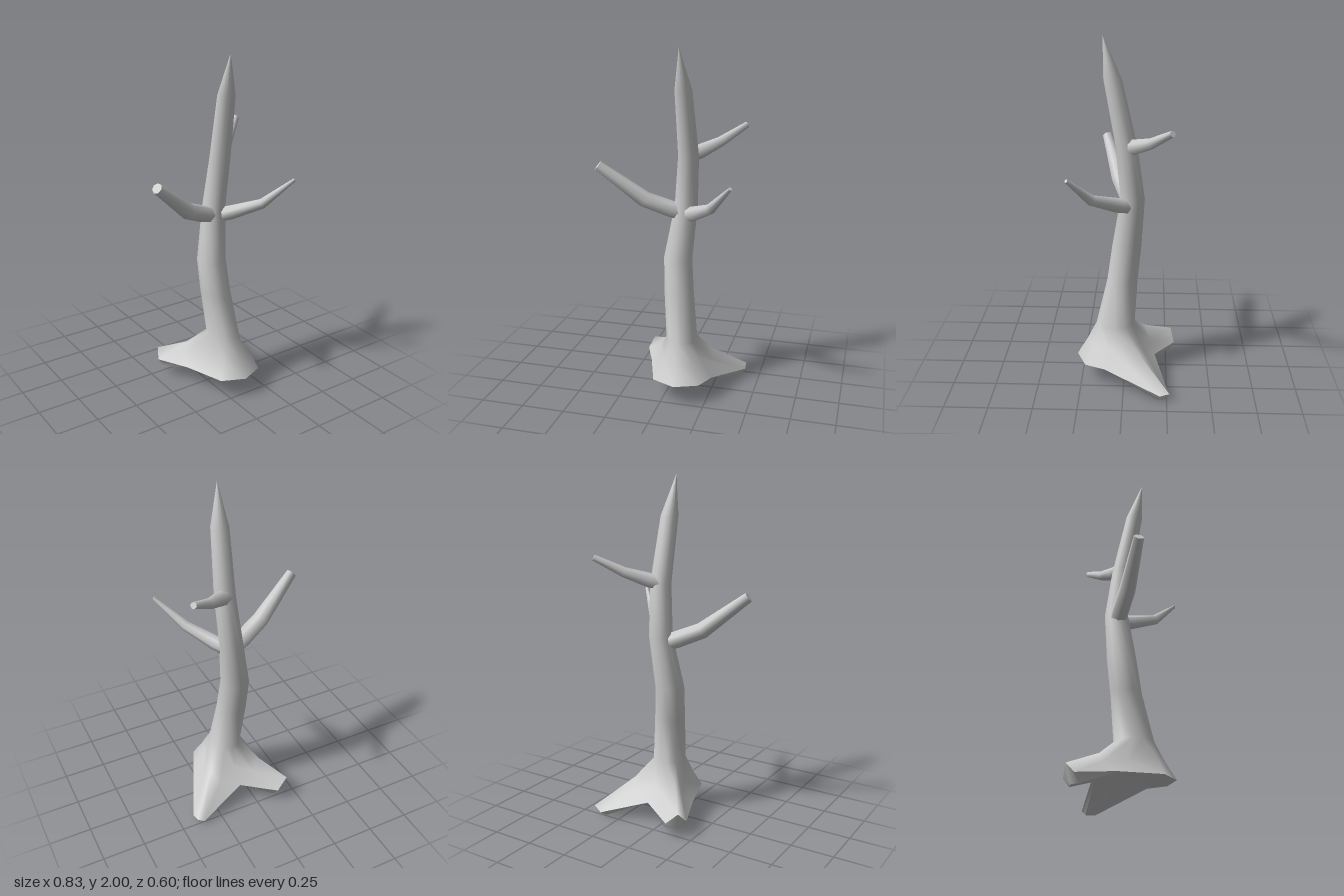
import * as THREE from 'three';

const V = (x, y, z) => new THREE.Vector3(x, y, z);
const material = new THREE.MeshStandardMaterial({ color: 0xcccccc, side: THREE.DoubleSide });

// Skin a list of equally sized rings, each running counterclockwise about the direction of growth
function loft(rings) {
  const n = rings[0].length, pos = [], index = [];
  rings.forEach(r => r.forEach(p => pos.push(p.x, p.y, p.z)));
  for (let j = 0; j < rings.length - 1; j++) {
    for (let i = 0; i < n; i++) {
      const a = j * n + i, b = j * n + (i + 1) % n;
      index.push(a, b, a + n, b, b + n, a + n);
    }
  }
  const g = new THREE.BufferGeometry();
  g.setAttribute('position', new THREE.Float32BufferAttribute(pos, 3));
  g.setIndex(index);
  g.computeVertexNormals();
  return g;
}

function mesh(name, geometry) {
  const m = new THREE.Mesh(geometry, material);
  m.name = name;
  return m;
}

// Horizontal 12-sided trunk ring, starting at the front
function trunkRing([x, y, z, rx, rz = rx]) {
  return Array.from({ length: 12 }, (_, i) => {
    const a = i * Math.PI / 6;
    return V(x + Math.sin(a) * rx, y, z + Math.cos(a) * rz);
  });
}

// Tapered branch through points [x, y, z, radius], with a sharp cut end
function branch(name, points) {
  const p = points.map(q => V(q[0], q[1], q[2]));
  const rings = points.map((q, k) => {
    const t = p[Math.min(k + 1, p.length - 1)].clone().sub(p[Math.max(k - 1, 0)]).normalize();
    const u = V(0, 1, 0).cross(t).normalize(), v = t.clone().cross(u);
    return Array.from({ length: 7 }, (_, i) => {
      const a = i * Math.PI * 2 / 7;
      return p[k].clone().addScaledVector(u, Math.cos(a) * q[3]).addScaledVector(v, Math.sin(a) * q[3]);
    });
  });
  const group = new THREE.Group();
  group.name = name;
  const end = rings[rings.length - 1];
  group.add(mesh(name + 'Limb', loft(rings)));
  group.add(mesh(name + 'Cut', loft([end, end.map(() => p[p.length - 1])])));
  return group;
}

export function createModel() {
  const tree = new THREE.Group();
  tree.name = 'bareTree';

  // Ground outline: front flare, left root tip, back notch, right root tip
  const base = [
    [0.085, 0.12, 0.28], [0.22, 0.12, 0.225], [0.27, 0.12, 0.11], [0.415, 0.04, -0.21],
    [0.413, 0.055, -0.265], [0.37, 0.02, -0.265], [0.085, 0.12, -0.18], [-0.115, 0.09, -0.30],
    [-0.185, 0.155, -0.28], [-0.21, 0.10, -0.23], [-0.13, 0.12, -0.02], [-0.05, 0.12, 0.22],
  ].map(q => V(...q));
  // Halfway up the flare, where the roots form ridges
  const flare = [
    [0.085, 0.22, 0.22], [0.175, 0.22, 0.18], [0.20, 0.22, 0.09], [0.25, 0.17, -0.02],
    [0.24, 0.215, -0.085], [0.20, 0.16, -0.14], [0.085, 0.20, -0.10], [-0.02, 0.17, -0.155],
    [-0.07, 0.235, -0.12], [-0.10, 0.18, -0.10], [-0.05, 0.20, 0.03], [-0.005, 0.22, 0.18],
  ].map(q => V(...q));

  // Trunk: x, y, z, radius in x, radius in z
  const trunk = [
    [0.078, 0.33, 0.052, 0.09, 0.112],
    [0.05, 0.60, 0.012, 0.088],
    [0.037, 0.80, -0.012, 0.084],
    [0.075, 1.10, -0.046, 0.068],
    [0.095, 1.40, -0.013, 0.06],
    [0.083, 1.77, 0.062, 0.05],
    [0.07, 2.0, 0.115, 0],
  ].map(trunkRing);
  tree.add(mesh('trunkAndRoots', loft([base, flare, ...trunk])));

  // Underside: cut root ends, then a shallow hollow under the trunk
  const heart = V(0.085, 0.17, -0.01);
  const under = base.map((p, i) => {
    const q = p.clone().lerp(heart, 0.1);
    if (i >= 3 && i <= 5) q.y = 0;
    else if (i >= 7 && i <= 9) q.y = 0.05;
    else q.y = 0.12;
    return q;
  });
  tree.add(mesh('rootRim', loft([under, base])));
  tree.add(mesh('underside', loft([under.map(() => heart), under])));

  // Three bare branches
  tree.add(branch('rightBranch', [
    [0.07, 1.06, -0.04, 0.05], [-0.01, 1.085, -0.015, 0.05], [-0.15, 1.145, 0.035, 0.048], [-0.395, 1.345, 0.118, 0.03],
  ]));
  tree.add(branch('leftFrontBranch', [
    [0.09, 1.06, -0.03, 0.045], [0.14, 1.08, 0.03, 0.043], [0.26, 1.15, 0.17, 0.03], [0.393, 1.3, 0.29, 0.01],
  ]));
  tree.add(branch('leftBackBranch', [
    [0.09, 1.40, -0.025, 0.045], [0.15, 1.42, -0.065, 0.042], [0.25, 1.465, -0.15, 0.03], [0.38, 1.55, -0.255, 0.018],
  ]));
  return tree;
}
